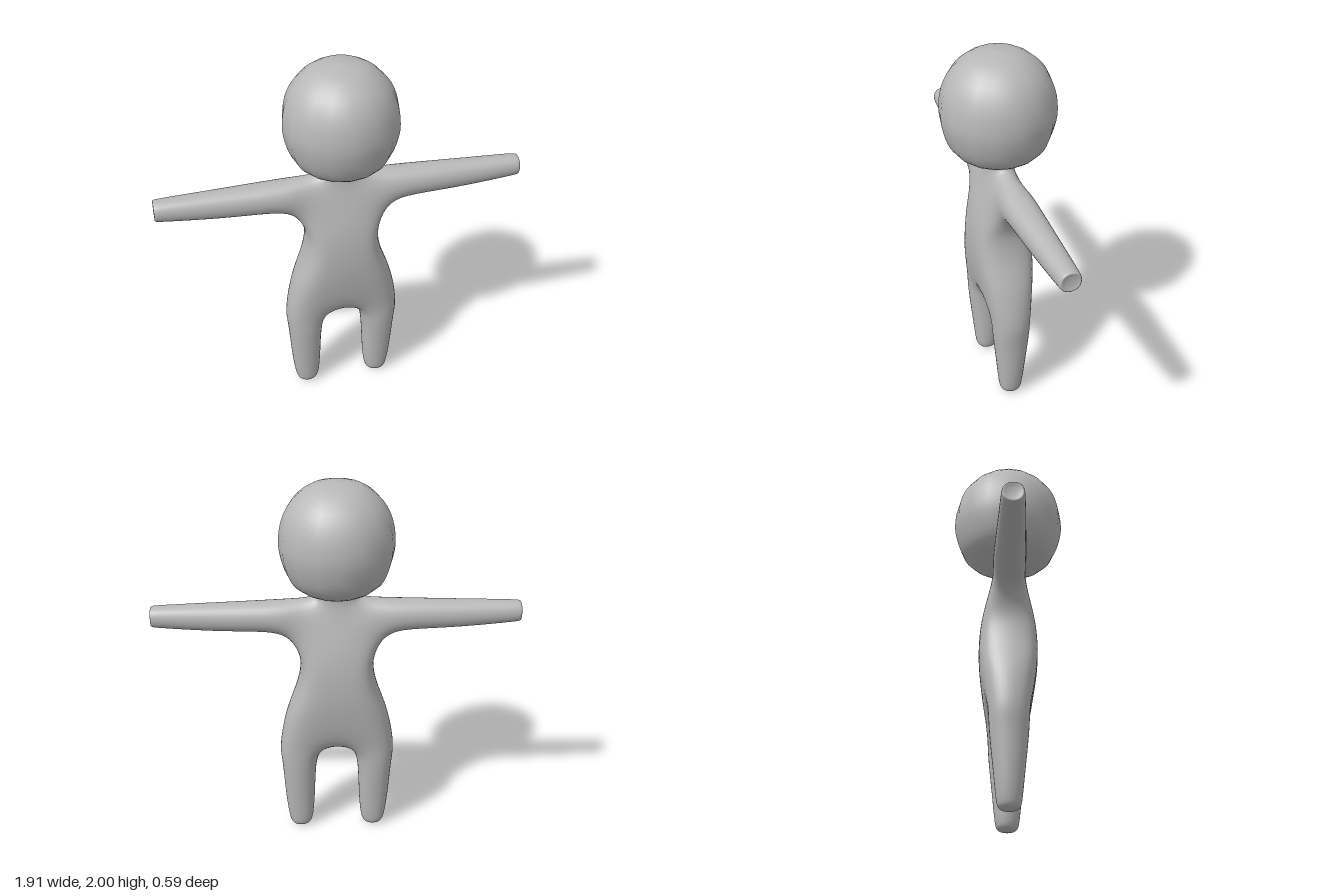
import * as THREE from 'three';

const grey = new THREE.MeshStandardMaterial({ color: 0xb8b8b8 });
grey.name = 'plain grey';

// One Catmull-Clark step on a closed quad mesh; old vertices keep their index.
function subdivide({ verts, quads }) {
  const out = verts.map(() => new THREE.Vector3());
  const faceSum = verts.map(() => new THREE.Vector3());
  const edgeSum = verts.map(() => new THREE.Vector3());
  const valence = verts.map(() => 0);
  const edges = new Map();
  const faces = quads.map((q) => {
    const c = new THREE.Vector3();
    q.forEach((i) => c.addScaledVector(verts[i], 0.25));
    q.forEach((i, k) => {
      const j = q[(k + 1) % 4];
      const key = Math.min(i, j) + '_' + Math.max(i, j);
      if (!edges.has(key)) edges.set(key, { i, j, sum: new THREE.Vector3() });
      edges.get(key).sum.add(c);
      faceSum[i].add(c);
      valence[i]++;
    });
    return out.push(c) - 1;
  });
  for (const e of edges.values()) {
    const ends = verts[e.i].clone().add(verts[e.j]);
    edgeSum[e.i].addScaledVector(ends, 0.5);
    edgeSum[e.j].addScaledVector(ends, 0.5);
    e.id = out.push(ends.add(e.sum).multiplyScalar(0.25)) - 1;
  }
  verts.forEach((v, i) => {
    const n = valence[i];
    out[i].copy(faceSum[i]).addScaledVector(edgeSum[i], 2).divideScalar(n * n)
      .addScaledVector(v, (n - 3) / n);
  });
  const edgeId = (i, j) => edges.get(Math.min(i, j) + '_' + Math.max(i, j)).id;
  const next = [];
  quads.forEach((q, f) => q.forEach((i, k) => {
    next.push([i, edgeId(i, q[(k + 1) % 4]), faces[f], edgeId(q[(k + 3) % 4], i)]);
  }));
  return { verts: out, quads: next };
}

function refine(mesh, levels) {
  for (let i = 0; i < levels; i++) mesh = subdivide(mesh);
  return mesh;
}

// Torso levels, crotch to shoulder: outer [x, y, z] and inner [x, y, z] columns
const TORSO = [
  [[0.28, 0.53, 0.08], [0.088, 0.525, 0.085]],
  [[0.25, 0.72, 0.09], [0.09, 0.72, 0.138]],
  [[0.2, 0.88, 0.095], [0.075, 0.88, 0.152]],
  [[0.178, 1.03, 0.09], [0.07, 1.03, 0.145]],
  [[0.22, 1.165, 0.075], [0.08, 1.18, 0.115]],
  [[0.22, 1.352, 0.06], [0.09, 1.38, 0.055]],
];
// Leg rings [y, centre x, half width, half depth]
const LEG = [[0.4, 0.207, 0.07, 0.073], [0.2, 0.205, 0.06, 0.058],
  [0.06, 0.202, 0.049, 0.047], [0.012, 0.202, 0.03, 0.03]];
// Arm rings [x, centre y, half size]
const ARM = [[0.34, 1.287, 0.063], [0.6, 1.289, 0.055], [0.91, 1.295, 0.043], [0.955, 1.296, 0.029]];

function bodyCage() {
  const verts = [], quads = [];
  const add = (x, y, z) => verts.push(new THREE.Vector3(x, y, z)) - 1;
  const inner = {};

  for (const m of [1, -1]) {
    const face = (...q) => quads.push(m > 0 ? q : q.reverse());
    const tube = (rings) => {
      rings.slice(1).forEach((n, k) => {
        const r = rings[k];
        for (let i = 0; i < 4; i++) face(r[i], r[(i + 1) % 4], n[(i + 1) % 4], n[i]);
      });
      face(...rings[rings.length - 1]);
    };
    // Front and back vertices of a column
    const pair = ([x, y, z]) => [add(m * x, y, z), add(m * x, y, -z)];
    const O = TORSO.map((t) => pair(t[0]));
    const I = TORSO.map((t) => pair(t[1]));
    inner[m] = I;

    // Flank: front, back and side strips, side left open for the arm
    const top = TORSO.length - 1;
    for (let l = 0; l < top; l++) {
      face(I[l][0], O[l][0], O[l + 1][0], I[l + 1][0]);
      face(O[l][1], I[l][1], I[l + 1][1], O[l + 1][1]);
      if (l < top - 1) face(O[l][0], O[l][1], O[l + 1][1], O[l + 1][0]);
    }
    face(I[top][0], O[top][0], O[top][1], I[top][1]);

    // Leg
    tube([[O[0][0], I[0][0], I[0][1], O[0][1]], ...LEG.map(([y, c, w, d]) => [
      add(m * (c + w), y, d), add(m * (c - w), y, d),
      add(m * (c - w), y, -d), add(m * (c + w), y, -d)])]);

    // Arm
    tube([[O[top][0], O[top - 1][0], O[top - 1][1], O[top][1]], ...ARM.map(([x, c, r]) => [
      add(m * x, c + r, r), add(m * x, c - r, r),
      add(m * x, c - r, -r), add(m * x, c + r, -r)])]);
  }

  // Middle strips, crotch and neck
  const L = inner[1], R = inner[-1], top = TORSO.length - 1;
  for (let l = 0; l < top; l++) {
    quads.push([R[l][0], L[l][0], L[l + 1][0], R[l + 1][0]]);
    quads.push([L[l][1], R[l][1], R[l + 1][1], L[l + 1][1]]);
  }
  quads.push([L[0][0], R[0][0], R[0][1], L[0][1]]);
  const base = [R[top][0], L[top][0], L[top][1], R[top][1]];
  const neck = [[-1, 1], [1, 1], [1, -1], [-1, -1]].map(([x, z]) => add(x * 0.08, 1.45, z * 0.05));
  for (let i = 0; i < 4; i++) {
    const j = (i + 1) % 4;
    quads.push([base[i], base[j], neck[j], neck[i]]);
  }
  quads.push(neck);
  return { verts, quads };
}

function bodyGeometry() {
  // Push the cage outward until the smoothed surface passes through its points
  const cage = bodyCage();
  const target = cage.verts.map((v) => v.clone());
  for (let k = 0; k < 12; k++) {
    const smooth = refine(cage, 2).verts;
    cage.verts.forEach((v, i) => v.add(target[i]).sub(smooth[i]));
  }
  const { verts, quads } = refine(cage, 3);
  const geometry = new THREE.BufferGeometry().setFromPoints(verts);
  geometry.setIndex(quads.flatMap(([a, b, c, d]) => [a, b, c, a, c, d]));
  geometry.computeVertexNormals();
  return geometry;
}

function headGeometry() {
  const profile = new THREE.SplineCurve([
    [0, 1.395], [0.11, 1.41], [0.2, 1.452], [0.252, 1.51], [0.284, 1.6], [0.295, 1.69],
    [0.279, 1.8], [0.228, 1.9], [0.13, 1.977], [0, 2],
  ].map(([x, y]) => new THREE.Vector2(x, y)));
  const points = profile.getPoints(27);
  points.forEach((p) => { p.x = Math.max(p.x, 0); });
  return new THREE.LatheGeometry(points, 16);
}

export function createModel() {
  const model = new THREE.Group();
  model.name = 'figure';
  const body = new THREE.Mesh(bodyGeometry(), grey);
  body.name = 'body';
  const head = new THREE.Mesh(headGeometry(), grey);
  head.name = 'head';
  model.add(body, head);
  return model;
}
